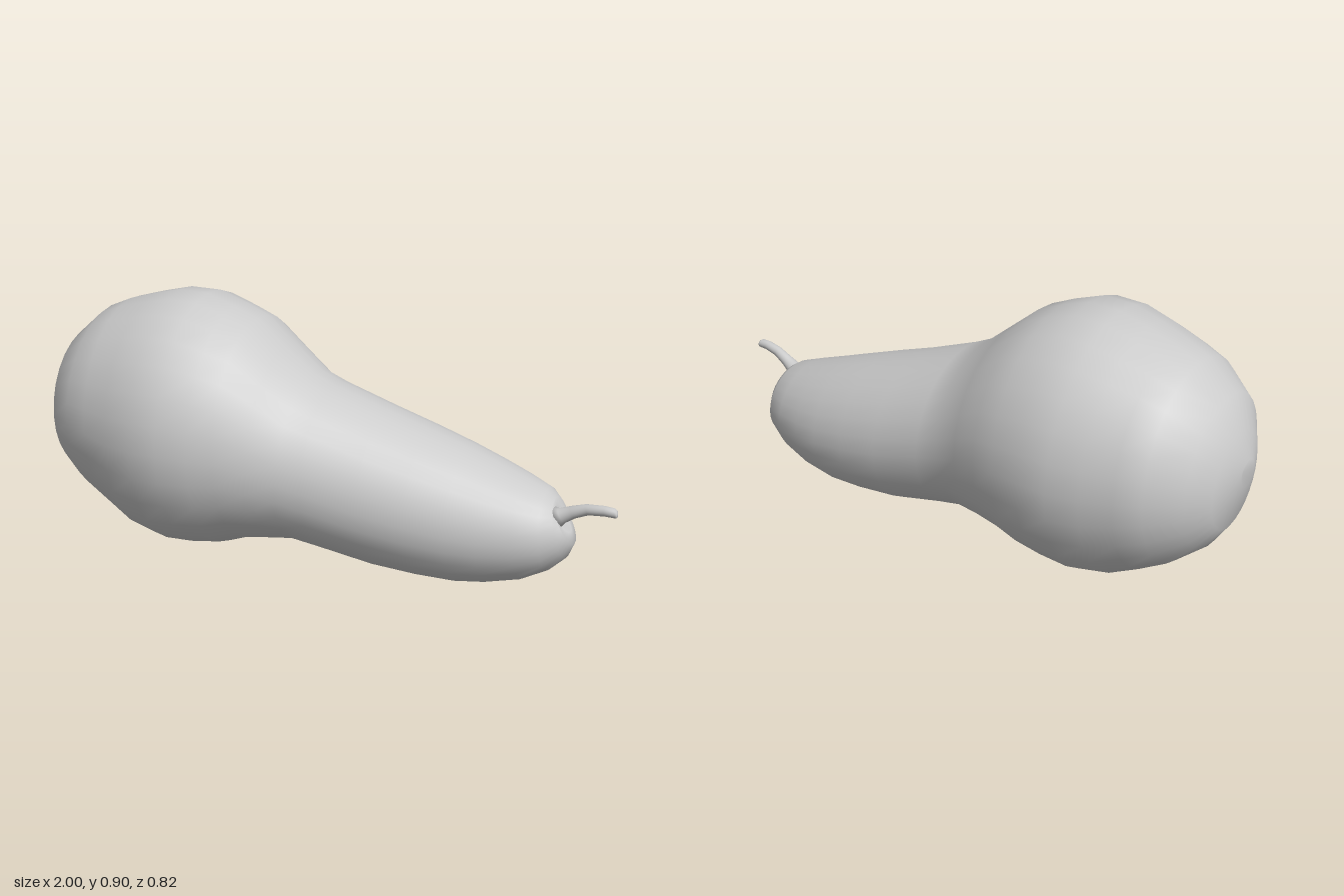
import * as THREE from 'three';

const SEGMENTS = 28;
const material = new THREE.MeshStandardMaterial({ color: 0xcccccc });

// Smooth skin through oval rings [topX, topY, bottomX, bottomY, backZ, frontZ],
// listed along +x and closed at both ends by a pole point.
function loft(name, startPole, rings, endPole) {
  const points = [...startPole];
  const index = [];
  const vertex = (i, j) => 1 + i * SEGMENTS + (j % SEGMENTS);
  for (const [xt, yt, xb, yb, z0, z1] of rings) {
    for (let j = 0; j < SEGMENTS; j++) {
      const a = (j / SEGMENTS) * Math.PI * 2;
      const k = Math.cos(a) / 2;
      points.push(
        (xt + xb) / 2 + (xt - xb) * k,
        (yt + yb) / 2 + (yt - yb) * k,
        (z0 + z1) / 2 + ((z1 - z0) / 2) * Math.sin(a)
      );
    }
  }
  points.push(...endPole);
  const last = rings.length - 1;
  const endIndex = 1 + rings.length * SEGMENTS;
  for (let j = 0; j < SEGMENTS; j++) {
    index.push(0, vertex(0, j + 1), vertex(0, j));
    for (let i = 0; i < last; i++) {
      const a = vertex(i, j), b = vertex(i + 1, j);
      const c = vertex(i, j + 1), d = vertex(i + 1, j + 1);
      index.push(a, c, b, b, c, d);
    }
    index.push(endIndex, vertex(last, j), vertex(last, j + 1));
  }
  const geometry = new THREE.BufferGeometry();
  geometry.setAttribute('position', new THREE.Float32BufferAttribute(points, 3));
  geometry.setIndex(index);
  geometry.computeVertexNormals();
  const mesh = new THREE.Mesh(geometry, material);
  mesh.name = name;
  return mesh;
}

export function createModel() {
  const group = new THREE.Group();
  group.name = 'squash';

  // Round bulb, tapering neck and rounded nose with a dimple for the stem
  const body = [
    [-1.0, 0.53, -1.0, 0.44, -0.05, 0.04],
    [-0.97, 0.62, -0.97, 0.3, -0.18, 0.13],
    [-0.92, 0.72, -0.92, 0.22, -0.26, 0.23],
    [-0.82, 0.81, -0.83, 0.145, -0.345, 0.3],
    [-0.74, 0.845, -0.74, 0.09, -0.37, 0.33],
    [-0.64, 0.875, -0.64, 0.035, -0.395, 0.37],
    [-0.54, 0.9, -0.53, 0.01, -0.415, 0.4],
    [-0.43, 0.9, -0.43, 0.017, -0.415, 0.408],
    [-0.33, 0.865, -0.33, 0.03, -0.395, 0.385],
    [-0.25, 0.83, -0.25, 0.058, -0.378, 0.36],
    [-0.15, 0.745, -0.16, 0.071, -0.343, 0.32],
    [-0.05, 0.66, -0.08, 0.079, -0.315, 0.282],
    [0.02, 0.628, 0.02, 0.06, -0.31, 0.265],
    [0.2, 0.562, 0.2, 0.022, -0.31, 0.235],
    [0.35, 0.512, 0.35, 0.008, -0.303, 0.213],
    [0.48, 0.467, 0.48, 0.003, -0.287, 0.185],
    [0.58, 0.43, 0.58, 0.016, -0.265, 0.163],
    [0.68, 0.393, 0.7, 0.048, -0.228, 0.135],
    [0.755, 0.363, 0.785, 0.095, -0.185, 0.105],
    [0.785, 0.342, 0.84, 0.15, -0.125, 0.068],
    [0.797, 0.32, 0.862, 0.205, -0.075, 0.048],
    [0.796, 0.305, 0.85, 0.25, -0.035, 0.035],
  ];
  group.add(loft('body', [-0.985, 0.48, -0.01], body, [0.79, 0.285, 0.005]));

  // Curved stem, flared at the base
  const stem = [
    [0.775, 0.33, 0.82, 0.265, -0.03, 0.04],
    [0.805, 0.325, 0.835, 0.284, -0.018, 0.036],
    [0.845, 0.342, 0.865, 0.305, -0.008, 0.034],
    [0.895, 0.36, 0.908, 0.326, 0.002, 0.038],
    [0.955, 0.367, 0.96, 0.334, 0.011, 0.045],
    [0.988, 0.365, 0.995, 0.334, 0.014, 0.046],
    [0.995, 0.36, 1.0, 0.338, 0.018, 0.042],
  ];
  group.add(loft('stem', [0.78, 0.29, 0.005], stem, [0.999, 0.349, 0.03]));

  return group;
}
